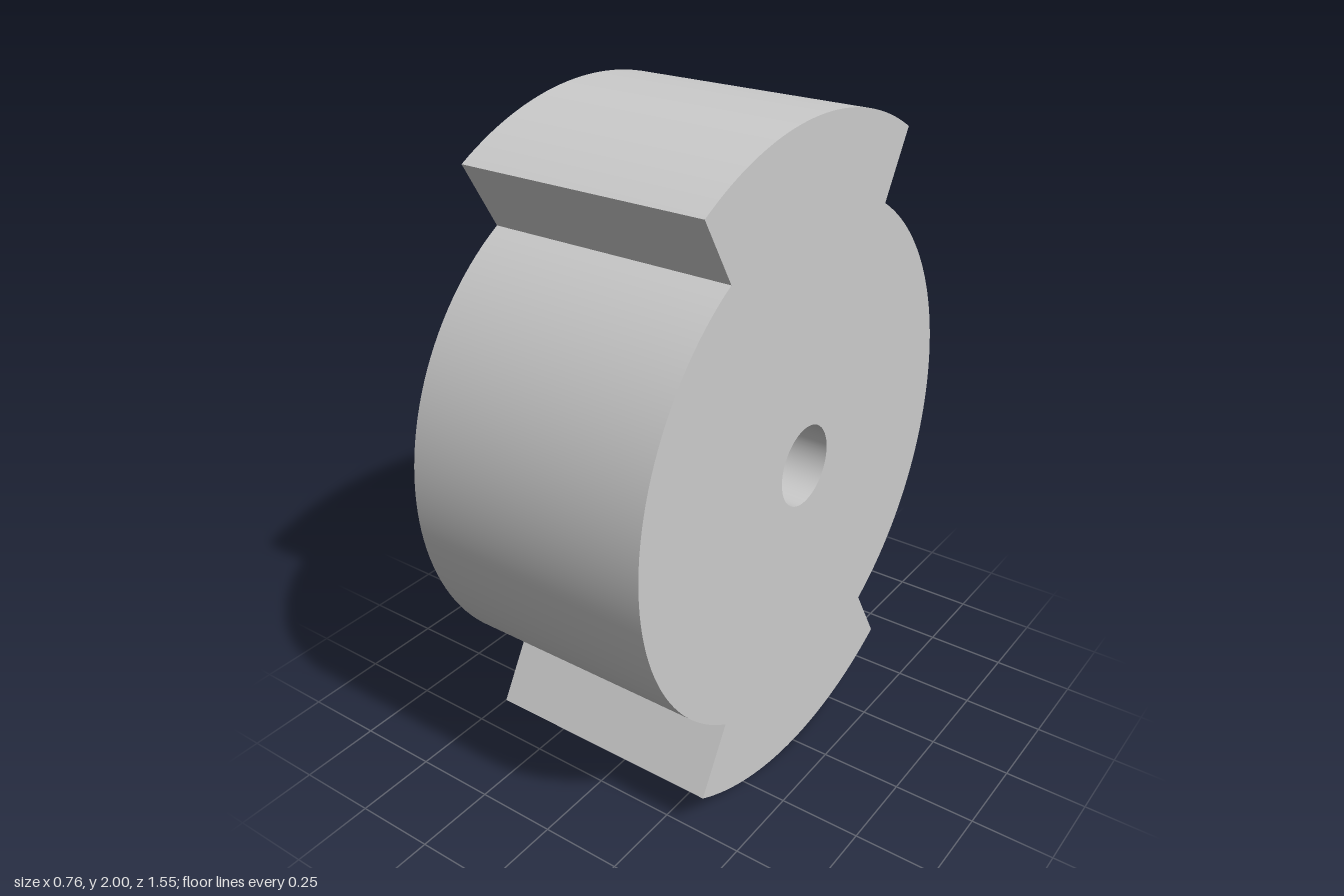
import * as THREE from 'three';
import { mergeGeometries, toCreasedNormals } from 'three/addons/utils/BufferGeometryUtils.js';

const HALF = 0.38;      // half of the thickness
const FLOOR = 0.12;     // inner face of the closed end
const R_BODY = 0.775, R_LOBE = 1, R_CUP = 0.645, R_BORE = 0.122, R_TOOTH = 0.565;
const TEETH = 9;
const rad = THREE.MathUtils.degToRad;

// Points on an arc, both ends included
function arc(r, from, to, n) {
  return Array.from({ length: n + 1 }, (_, i) => {
    const a = rad(from + (to - from) * i / n);
    return new THREE.Vector2(r * Math.cos(a), r * Math.sin(a));
  });
}
const circle = (r, n) => arc(r, 0, 360, n).slice(0, -1);

// Side wall along a closed counter-clockwise loop; inward turns it to face the axis
function wall(points, w0, w1, inward = false) {
  const loop = inward ? [...points].reverse() : points;
  const pos = [];
  loop.forEach((p, i) => {
    const q = loop[(i + 1) % loop.length];
    pos.push(p.x, p.y, w0, q.x, q.y, w0, q.x, q.y, w1);
    pos.push(p.x, p.y, w0, q.x, q.y, w1, p.x, p.y, w1);
  });
  const g = new THREE.BufferGeometry();
  g.setAttribute('position', new THREE.Float32BufferAttribute(pos, 3));
  return g;
}

// Flat face with a hole, optionally turned to the open end
function face(points, hole, w, flip) {
  const shape = new THREE.Shape(points);
  shape.holes.push(new THREE.Path(hole));
  const indexed = new THREE.ShapeGeometry(shape);
  if (flip) indexed.index.array.reverse();
  const g = indexed.toNonIndexed().translate(0, 0, w);
  g.deleteAttribute('uv');
  g.deleteAttribute('normal');
  return g;
}

export function createModel() {
  const group = new THREE.Group();
  group.name = 'lobedHub';
  const material = new THREE.MeshStandardMaterial({ color: 0xcccccc });

  // Round body with a wide lobe above and below
  const outline = [
    ...arc(R_BODY, -60, 60, 48), ...arc(R_LOBE, 60, 120, 32),
    ...arc(R_BODY, 120, 240, 48), ...arc(R_LOBE, 240, 300, 32),
  ];
  const cup = circle(R_CUP, 108);
  const bore = circle(R_BORE, 48);
  const parts = mergeGeometries([
    wall(outline, -HALF, HALF),
    wall(cup, -HALF, FLOOR, true),
    wall(bore, FLOOR, HALF, true),
    face(outline, cup, -HALF, true),
    face(cup, bore, FLOOR, true),
    face(outline, bore, HALF, false),
  ]);
  const body = new THREE.Mesh(toCreasedNormals(parts, rad(25)), material);
  body.name = 'body';
  group.add(body);

  // Ring of teeth in the corner between cup wall and floor
  const tooth = new THREE.Shape([
    ...arc(R_CUP + 0.005, -10, 10, 8), ...arc(R_TOOTH, 10, -10, 8),
  ]);
  const toothGeometry = toCreasedNormals(
    new THREE.ExtrudeGeometry(tooth, { depth: 0.135, bevelEnabled: false }), rad(25));
  toothGeometry.translate(0, 0, FLOOR - 0.13);
  const teeth = new THREE.Group();
  teeth.name = 'teeth';
  for (let i = 0; i < TEETH; i++) {
    const mesh = new THREE.Mesh(toothGeometry, material);
    mesh.name = 'tooth' + (i + 1);
    mesh.rotation.z = Math.PI + i * 2 * Math.PI / TEETH;
    teeth.add(mesh);
  }
  group.add(teeth);

  // Axis along x, closed end towards +x, standing on the ground
  group.rotation.y = Math.PI / 2;
  group.position.y = 1;
  const model = new THREE.Group();
  model.name = 'model';
  model.add(group);
  return model;
}
